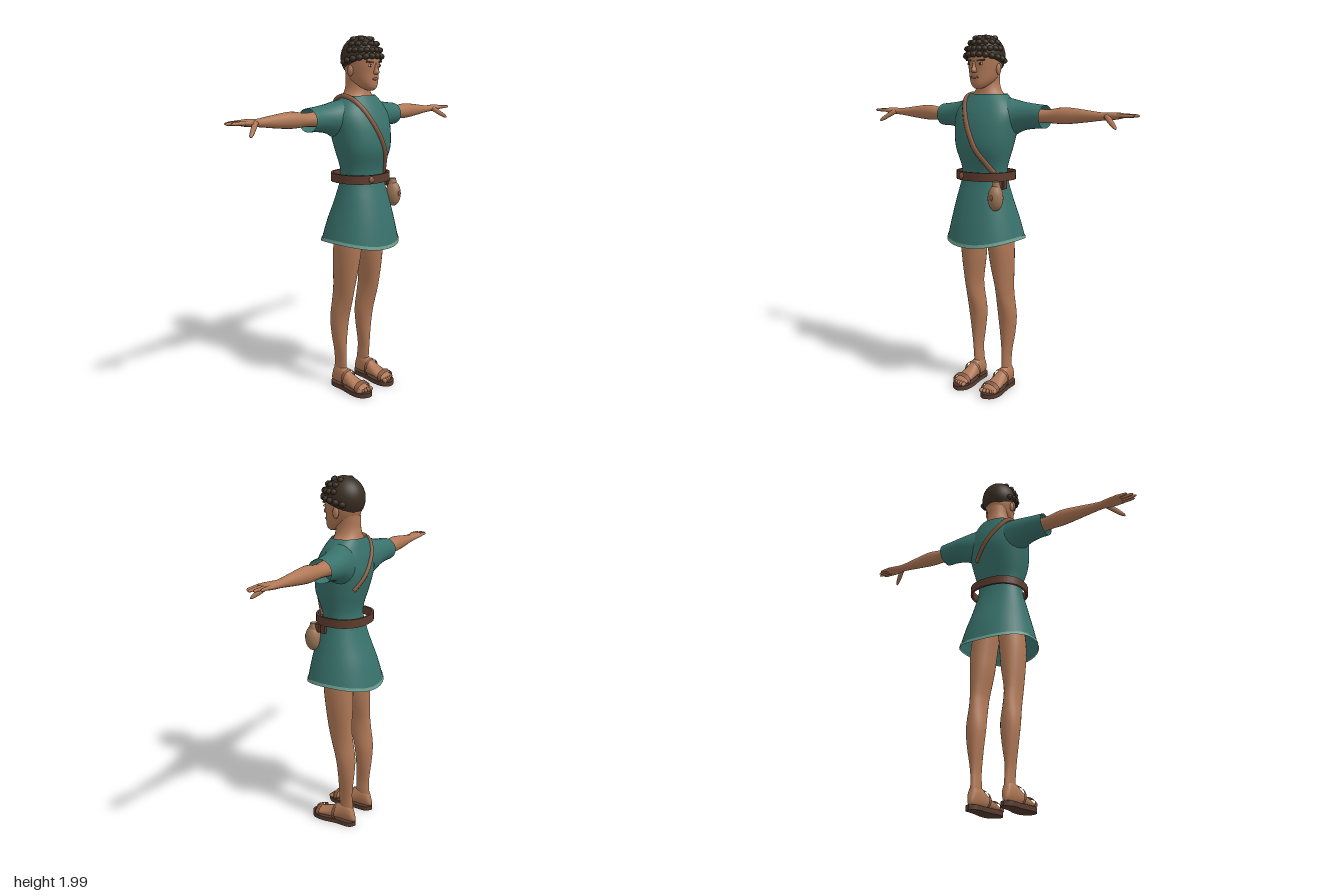
import * as THREE from 'three';
import { mergeGeometries, toCreasedNormals } from 'three/addons/utils/BufferGeometryUtils.js';

const paint = (name, color, side = THREE.FrontSide) => {
  const m = new THREE.MeshStandardMaterial({ color, side });
  m.name = name;
  return m;
};

// Hermite blend between cross-sections k and k+1; section = [position, u0, u1, v0, v1]
function blend(secs, k, t) {
  const a = secs[k], b = secs[k + 1], h = b[0] - a[0];
  const p = secs[Math.max(k - 1, 0)], n = secs[Math.min(k + 2, secs.length - 1)];
  const t2 = t * t, t3 = t2 * t;
  return a.map((av, i) => i === 0 ? av + h * t :
    (2 * t3 - 3 * t2 + 1) * av + (3 * t2 - 2 * t3) * b[i]
    + (t3 - 2 * t2 + t) * h * (b[i] - p[i]) / (b[0] - p[0])
    + (t3 - t2) * h * (n[i] - av) / (n[0] - a[0]));
}

// Skin oval cross-sections along an axis; pow above 2 makes them squarer
function loft(axis, secs, { n = 24, steps = 4, cap = false, pow = 2 } = {}) {
  const rings = [];
  for (let k = 0; k < secs.length - 1; k++)
    for (let i = 0; i < steps; i++) rings.push(steps === 1 ? secs[k] : blend(secs, k, i / steps));
  rings.push(secs[secs.length - 1]);
  const place = { x: (a, u, v) => [a, u, v], y: (a, u, v) => [u, a, v], z: (a, u, v) => [u, v, a] }[axis];
  const sign = axis === 'y' ? 1 : -1, pos = [], idx = [];
  const curve = (c) => Math.sign(c) * Math.abs(c) ** (2 / pow);
  for (const [a, u0, u1, v0, v1] of rings)
    for (let j = 0; j < n; j++) {
      const q = j / n * Math.PI * 2;
      pos.push(...place(a, (u0 + u1) / 2 + (u1 - u0) / 2 * curve(Math.cos(q)),
        (v0 + v1) / 2 + sign * (v1 - v0) / 2 * curve(Math.sin(q))));
    }
  for (let k = 0; k < rings.length - 1; k++)
    for (let j = 0; j < n; j++) {
      const a = k * n + j, b = k * n + (j + 1) % n;
      idx.push(a, a + n, b, b, a + n, b + n);
    }
  if (cap) {
    [[rings[0], 0], [rings[rings.length - 1], (rings.length - 1) * n]].forEach(([r, base], e) => {
      const c = pos.length / 3;
      pos.push(...place(r[0], (r[1] + r[2]) / 2, (r[3] + r[4]) / 2));
      for (let j = 0; j < n; j++) {
        const a = base + j, b = base + (j + 1) % n;
        idx.push(c, e ? b : a, e ? a : b);
      }
    });
  }
  const g = new THREE.BufferGeometry();
  g.setAttribute('position', new THREE.Float32BufferAttribute(pos, 3));
  g.setIndex(idx);
  g.computeVertexNormals();
  return g;
}

// z on the front (+1) or back (-1) of a vertical loft
function surfaceZ(secs, x, y, face, pow = 2) {
  let k = 0;
  while (k < secs.length - 2 && secs[k + 1][0] < y) k++;
  const s = blend(secs, k, (y - secs[k][0]) / (secs[k + 1][0] - secs[k][0]));
  const r = Math.max(0, 1 - Math.abs(x / s[2]) ** pow) ** (1 / pow);
  return (s[3] + s[4]) / 2 + face * (s[4] - s[3]) / 2 * r;
}

const sym = (rows) => rows.map(([y, w, b, f]) => [y, -w, w, b, f]);
const ball = (x, y, z, rx, ry = rx, rz = rx, n = 12) =>
  new THREE.SphereGeometry(1, n, Math.ceil(n * 0.7)).scale(rx, ry, rz).translate(x, y, z);

function mirrored(geo) {
  const g = geo.clone().scale(-1, 1, 1), a = g.index.array;
  for (let i = 0; i < a.length; i += 3) [a[i], a[i + 1]] = [a[i + 1], a[i]];
  return g;
}

export function createModel() {
  const root = new THREE.Group();
  root.name = 'figure';
  const skin = paint('skin', 0xb07856), cloth = paint('teal cloth', 0x38716b, THREE.DoubleSide);
  const trim = paint('hem trim', 0x6fa093, THREE.DoubleSide), hair = paint('dark hair', 0x392e22, THREE.DoubleSide);
  const belt = paint('belt leather', 0x5e3c2e), strap = paint('strap leather', 0x85583f, THREE.DoubleSide);
  const pouch = paint('pouch leather', 0x9a7556), sole = paint('sole leather', 0x553a2d);
  const white = paint('eye white', 0xcdbfae), lip = paint('lips', 0x8f5743);
  const add = (name, geo, mat) => {
    const m = new THREE.Mesh(geo, mat);
    m.name = name;
    root.add(m);
  };
  const pair = (name, geo, mat) => {
    add('left ' + name, geo, mat);
    add('right ' + name, mirrored(geo), mat);
  };

  // Tunic body and skirt, with the hem rising at the sides
  const body = sym([[0.868, 0.215, -0.205, 0.205], [1.0, 0.188, -0.168, 0.18], [1.12, 0.16, -0.122, 0.15],
    [1.24, 0.132, -0.085, 0.115], [1.3, 0.136, -0.085, 0.12], [1.4, 0.163, -0.115, 0.153], [1.5, 0.18, -0.138, 0.146],
    [1.58, 0.182, -0.132, 0.122], [1.64, 0.15, -0.118, 0.092], [1.685, 0.108, -0.105, 0.063]]);
  const raiseHem = (g) => {
    const p = g.attributes.position;
    for (let i = 0; i < p.count; i++) {
      const k = THREE.MathUtils.clamp((1.1 - p.getY(i)) / 0.2, 0, 1);
      p.setY(i, p.getY(i) + 0.033 * k * (p.getX(i) / 0.215) ** 2);
    }
    g.computeVertexNormals();
    return g;
  };
  add('tunic', raiseHem(loft('y', body, { n: 40, pow: 2.2 })), cloth);
  add('hem trim', raiseHem(loft('y', sym([[0.864, 0.219, -0.208, 0.208], [0.883, 0.215, -0.204, 0.205]]),
    { n: 40, steps: 1, pow: 2.2 })), trim);
  pair('sleeve', loft('x', [[0.08, 1.44, 1.672, -0.115, 0.07], [0.14, 1.455, 1.662, -0.127, 0.055],
    [0.2, 1.488, 1.646, -0.13, 0.03], [0.27, 1.502, 1.635, -0.128, 0.016], [0.34, 1.505, 1.628, -0.126, 0.014]]), cloth);

  // Arms and hands
  pair('arm', loft('x', [[0.2, 1.52, 1.625, -0.105, 0], [0.34, 1.535, 1.605, -0.098, -0.012],
    [0.45, 1.532, 1.618, -0.1, -0.015], [0.55, 1.541, 1.61, -0.09, -0.025], [0.67, 1.556, 1.596, -0.081, -0.031],
    [0.72, 1.56, 1.598, -0.086, -0.02], [0.76, 1.565, 1.598, -0.09, -0.008], [0.79, 1.572, 1.592, -0.086, -0.012]],
  { n: 20, cap: true }), skin);
  const digits = [[-0.079, 0.835], [-0.06, 0.862], [-0.039, 0.873], [-0.018, 0.855]].map(([z, tip]) =>
    loft('x', [[0.765, 1.573, 1.594, z - 0.009, z + 0.009], [tip - 0.03, 1.575, 1.592, z - 0.008, z + 0.008],
      [tip - 0.008, 1.577, 1.59, z - 0.006, z + 0.006], [tip, 1.581, 1.586, z - 0.002, z + 0.002]], { n: 8, steps: 2, cap: true }));
  digits.push(loft('x', [[-0.06, -0.015, 0.015, -0.015, 0.015], [0, -0.013, 0.013, -0.013, 0.013],
    [0.04, -0.009, 0.009, -0.009, 0.009], [0.052, -0.003, 0.003, -0.003, 0.003]], { n: 8, steps: 2, cap: true })
    .rotateZ(-0.55).rotateY(-0.62).translate(0.745, 1.548, 0));
  pair('fingers', mergeGeometries(digits), skin);

  // Legs, feet and sandals
  pair('leg', loft('y', [[0.05, 0.078, 0.122, -0.115, -0.03], [0.12, 0.076, 0.12, -0.108, -0.022],
    [0.2, 0.078, 0.125, -0.104, -0.02], [0.32, 0.062, 0.145, -0.115, -0.018], [0.43, 0.052, 0.156, -0.12, -0.005],
    [0.55, 0.062, 0.148, -0.108, 0.03], [0.62, 0.06, 0.15, -0.1, 0.045], [0.75, 0.036, 0.16, -0.1, 0.065],
    [0.87, 0.022, 0.163, -0.097, 0.078], [1.0, 0.006, 0.15, -0.09, 0.08]], { cap: true }), skin);
  pair('foot', loft('z', [[-0.122, 0.088, 0.112, 0.025, 0.06], [-0.1, 0.075, 0.125, 0.02, 0.12],
    [-0.04, 0.07, 0.13, 0.02, 0.13], [0.02, 0.062, 0.14, 0.02, 0.095], [0.08, 0.056, 0.147, 0.02, 0.068],
    [0.13, 0.058, 0.145, 0.02, 0.05]], { n: 20, cap: true }), skin);
  pair('toes', mergeGeometries([0, 1, 2, 3, 4].map((i) =>
    ball(0.065 + i * 0.019, 0.035, 0.138 - i * i * 0.0015, i ? 0.009 : 0.012, 0.013, 0.018, 8))), skin);
  const outline = new THREE.Shape();
  outline.moveTo(0.1, -0.13);
  outline.splineThru([[0.135, -0.1], [0.14, -0.02], [0.154, 0.08], [0.14, 0.14], [0.09, 0.165], [0.052, 0.13],
    [0.046, 0.07], [0.06, -0.02], [0.066, -0.1], [0.1, -0.13]].map(([x, y]) => new THREE.Vector2(x, y)));
  const soleGeo = new THREE.ExtrudeGeometry(outline, { depth: 0.026, bevelEnabled: false, curveSegments: 36 })
    .rotateX(Math.PI / 2).translate(0, 0.026, 0);
  soleGeo.setIndex([...Array(soleGeo.attributes.position.count).keys()]);
  pair('sandal sole', soleGeo, sole);
  pair('ankle strap', loft('z', [[-0.012, 0.05, 0.152, 0.01, 0.118], [0.006, 0.048, 0.154, 0.01, 0.112]], { steps: 1 }), strap);
  pair('toe strap', loft('z', [[0.092, 0.047, 0.156, 0.008, 0.08], [0.118, 0.047, 0.156, 0.008, 0.07]], { steps: 1 }), strap);

  // Neck and head
  add('neck', loft('y', sym([[1.63, 0.13, -0.1, 0.06], [1.67, 0.105, -0.098, 0.058], [1.7, 0.075, -0.092, 0.052],
    [1.74, 0.062, -0.085, 0.05], [1.8, 0.062, -0.085, 0.05]])), skin);
  const head = sym([[1.712, 0.018, 0.06, 0.09], [1.725, 0.038, 0.02, 0.105], [1.755, 0.062, -0.04, 0.11],
    [1.8, 0.078, -0.08, 0.11], [1.86, 0.088, -0.092, 0.115], [1.92, 0.088, -0.095, 0.112], [1.97, 0.05, -0.05, 0.07]]);
  add('head', loft('y', head, { n: 32, cap: true }), skin);
  add('nose', loft('y', [[1.795, -0.012, 0.012, 0.09, 0.12], [1.805, -0.016, 0.016, 0.09, 0.133],
    [1.825, -0.01, 0.01, 0.09, 0.126], [1.855, -0.008, 0.008, 0.09, 0.116]], { n: 12, cap: true }), skin);
  add('mouth', ball(0, 1.772, surfaceZ(head, 0, 1.772, 1), 0.026, 0.007, 0.005), lip);
  pair('ear', ball(0.085, 1.815, 0.008, 0.012, 0.03, 0.018), skin);
  const ez = surfaceZ(head, 0.036, 1.843, 1);
  pair('eye', ball(0.036, 1.841, ez, 0.015, 0.007, 0.004), white);
  pair('iris', ball(0.036, 1.841, ez + 0.003, 0.007, 0.007, 0.003), hair);
  pair('eyebrow', new THREE.BoxGeometry(0.042, 0.009, 0.009).rotateZ(0.1).rotateY(0.28).translate(0.038, 1.859, ez), hair);

  // Hair cap with curls around the brow and crown
  add('hair', new THREE.SphereGeometry(1, 32, 20, 0, Math.PI * 2, 0, Math.PI * 0.6)
    .rotateX(-0.36).scale(0.103, 0.113, 0.112).translate(0, 1.882, 0.006), hair);
  const curls = [];
  [[13, 1.95, 0.06, 0.019], [11, 1.5, 0.34, 0.018], [8, 1.5, 0.68, 0.018], [5, 1.7, 1.02, 0.018]].forEach(([n, span, lift, r]) => {
    for (let i = 0; i < n; i++) {
      const q = (i / (n - 1) * 2 - 1) * span, e = lift - (lift < 0.1 ? 0.3 * (q / span) ** 2 : 0);
      curls.push(ball(0.1 * Math.sin(q) * Math.cos(e), 1.884 + 0.107 * Math.sin(e),
        0.006 + 0.112 * Math.cos(q) * Math.cos(e), r, r * 0.85, r, 10));
    }
  });
  add('curls', mergeGeometries(curls), hair);

  // Shoulder strap lying over chest and back
  const over = (face, pts) => pts.map(([x, y]) => new THREE.Vector3(x, y, surfaceZ(body, x, y, face, 2.2) - face * 0.003));
  const front = over(1, [[0.105, 1.265], [0.075, 1.32], [0.035, 1.39], [0, 1.46], [-0.04, 1.54], [-0.08, 1.62], [-0.1, 1.66]]);
  const back = over(-1, [[-0.1, 1.66], [-0.07, 1.61], [-0.02, 1.55], [0.03, 1.49], [0.09, 1.42]]);
  const path = new THREE.CatmullRomCurve3([...front, new THREE.Vector3(-0.108, 1.682, -0.02), ...back]);
  add('shoulder strap', new THREE.TubeGeometry(path, 60, 0.015, 8), strap);

  // Loose belt with stud
  const ring = (y, d) => [y, -0.163 + d, 0.163 - d, -0.146 + d, 0.151 - d];
  add('belt', toCreasedNormals(loft('y', [ring(1.223, 0), ring(1.27, 0), ring(1.27, 0.012), ring(1.223, 0.012), ring(1.223, 0)],
    { n: 32, steps: 1, pow: 2.3 }), 0.8), belt);
  add('belt stud', ball(-0.065, 1.246, 0.141, 0.018, 0.018, 0.01), strap);

  // Pouch hung from the belt on the left hip
  add('pouch', ball(0.145, 1.14, 0.12, 0.041, 0.07, 0.044, 20), pouch);
  add('pouch rim', new THREE.TorusGeometry(0.03, 0.004, 6, 24).scale(0.8, 1.35, 1).translate(0.145, 1.14, 0.148), pouch);
  add('pouch button', ball(0.145, 1.145, 0.163, 0.011, 0.016, 0.006), strap);
  add('pouch neck', new THREE.CylinderGeometry(0.018, 0.026, 0.04, 12).translate(0.145, 1.208, 0.115), pouch);
  add('pouch loops', mergeGeometries([[0.145, 0.088], [0.15, 0.048]].map(([x, z]) =>
    new THREE.BoxGeometry(0.02, 0.045, 0.028).translate(x, 1.203, z))), belt);
  return root;
}
